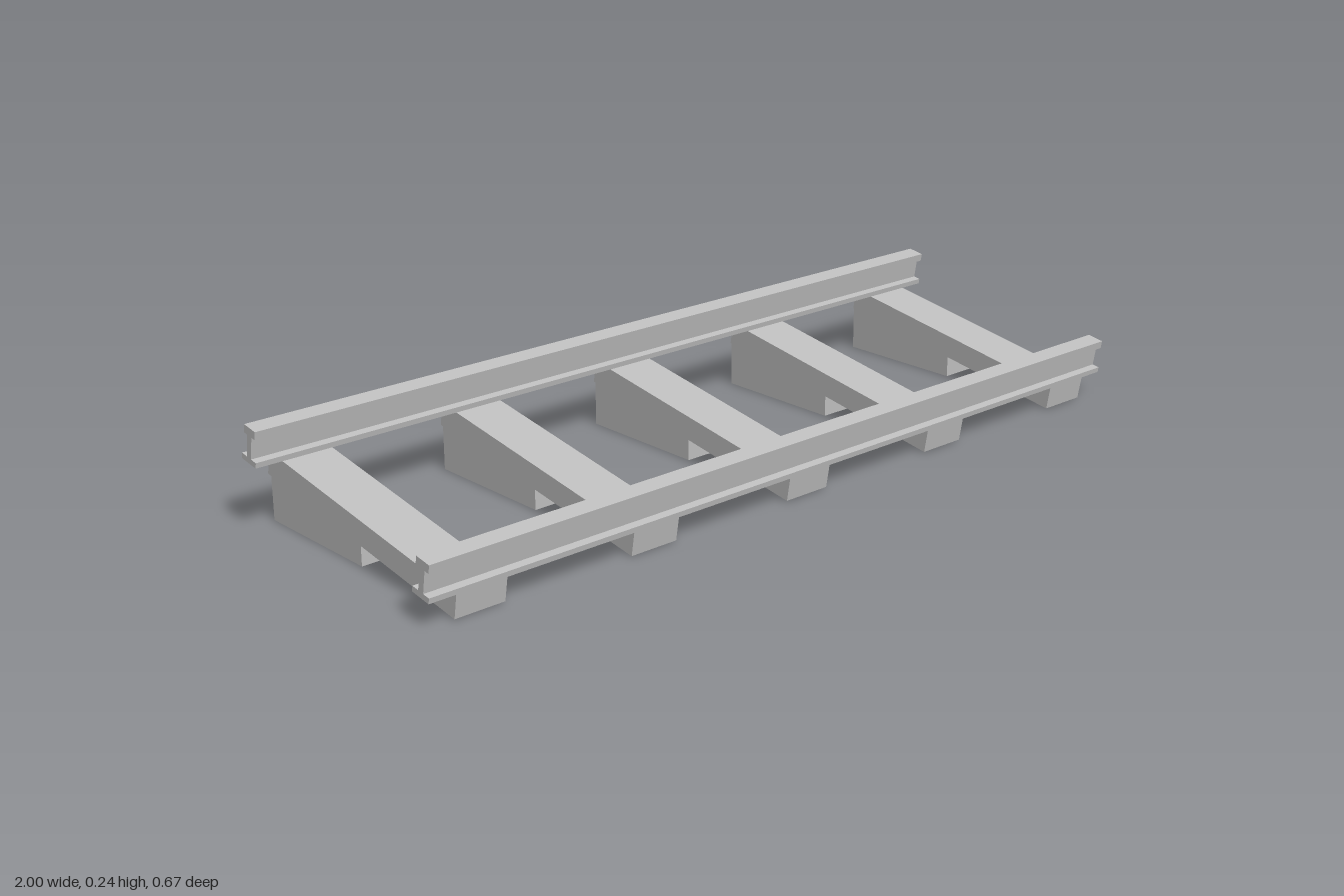
import * as THREE from 'three';

const grey = new THREE.MeshStandardMaterial({ color: 0xbfbfbf });
grey.name = 'grey';

// Extrude a (z, y) profile along x, centred on x = 0
function extrudeX(points, width) {
  const shape = new THREE.Shape(points.map(([z, y]) => new THREE.Vector2(z, y)));
  const geo = new THREE.ExtrudeGeometry(shape, { depth: width, bevelEnabled: false });
  geo.translate(0, 0, -width / 2);
  geo.rotateY(-Math.PI / 2);
  return geo;
}

function addMesh(parent, name, geo, x, y, z) {
  const mesh = new THREE.Mesh(geo, grey);
  mesh.name = name;
  mesh.position.set(x, y, z);
  parent.add(mesh);
}

export function createModel() {
  const model = new THREE.Group();
  model.name = 'bankedTrack';

  // Sleepers and rails share one tilted frame, lower at the front
  const deck = new THREE.Group();
  deck.name = 'tiltedDeck';
  deck.position.set(0, 0.083, 0.0025);
  deck.rotation.x = THREE.MathUtils.degToRad(9.5);
  model.add(deck);

  const thickness = 0.0545;
  const sleeperGeo = new THREE.BoxGeometry(0.12, thickness, 0.655);
  const wedgeGeo = extrudeX([[-0.007, 0], [-0.007, 0.053], [-0.334, 0.107], [-0.334, 0]], 0.096);

  // Five sleepers, each propped by a wedge under its raised end
  for (let i = -2; i <= 2; i++) {
    const x = i * 0.4385;
    addMesh(deck, 'sleeper', sleeperGeo, x, 0, 0);
    addMesh(model, 'wedge', wedgeGeo, x, 0, 0);
  }

  // I-shaped rail: wide foot, thin web, head
  const half = [[0.0265, 0], [0.0265, 0.0125], [0.008, 0.0125], [0.008, 0.0625], [0.0205, 0.0625], [0.0205, 0.081]];
  const mirrored = half.map(([z, y]) => [-z, y]).reverse();
  const railGeo = extrudeX([...half, ...mirrored], 2);
  addMesh(deck, 'frontRail', railGeo, 0, thickness / 2, 0.301);
  addMesh(deck, 'backRail', railGeo, 0, thickness / 2, -0.301);

  return model;
}
